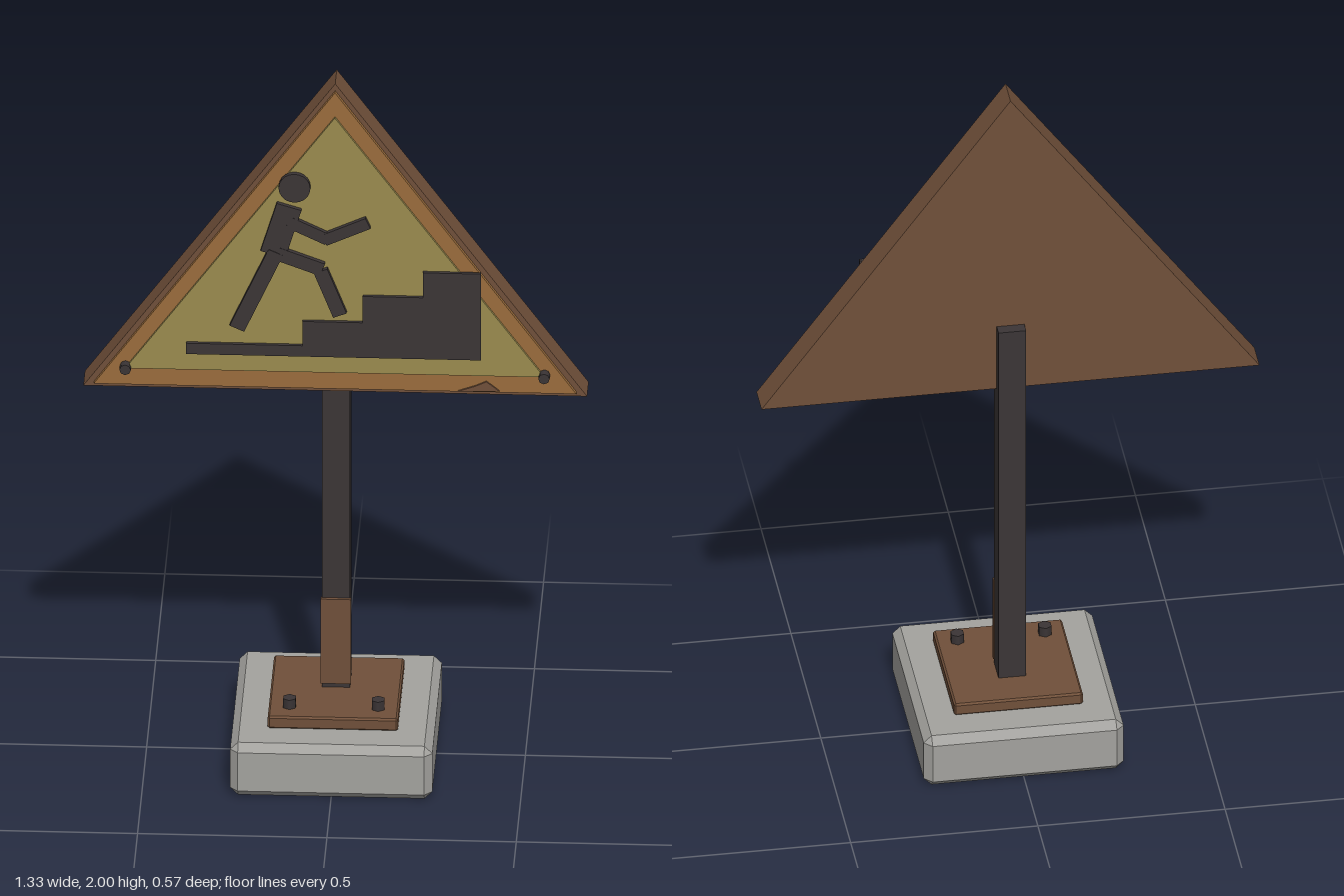
import * as THREE from 'three';
import { ConvexGeometry } from 'three/addons/geometries/ConvexGeometry.js';

const mat = (name, color) => {
  const m = new THREE.MeshStandardMaterial({ color });
  m.name = name;
  return m;
};

// Box with 45 degree cuts along every edge
function chamferBox(w, h, d, c) {
  const pts = [];
  for (const sx of [-1, 1]) for (const sy of [-1, 1]) for (const sz of [-1, 1]) {
    for (const k of [0, 1, 2]) {
      const inset = (axis) => (axis === k ? 0 : c);
      pts.push(new THREE.Vector3(
        sx * (w / 2 - inset(0)), sy * (h / 2 - inset(1)), sz * (d / 2 - inset(2))));
    }
  }
  return new ConvexGeometry(pts);
}

// Flat outline in x, y given thickness from z0 to z1
function slab(points, z0, z1) {
  const shape = new THREE.Shape(points.map(([x, y]) => new THREE.Vector2(x, y)));
  const g = new THREE.ExtrudeGeometry(shape, { depth: z1 - z0, bevelEnabled: false });
  return g.translate(0, 0, z0);
}

export function createModel() {
  const model = new THREE.Group();
  model.name = 'roadSign';

  const concrete = mat('concrete', 0xa3a29e);
  const rust = mat('rustBrown', 0x70503a);
  const orange = mat('orangeBorder', 0x9a6c3c);
  const yellow = mat('fadedYellow', 0x9a8b4e);
  const dark = mat('darkMetal', 0x3b3536);

  const add = (name, geometry, material, x = 0, y = 0, z = 0, parent = model) => {
    const mesh = new THREE.Mesh(geometry, material);
    mesh.name = name;
    mesh.position.set(x, y, z);
    parent.add(mesh);
    return mesh;
  };

  // Foot: concrete block, mounting plate and two bolts
  add('concreteBase', chamferBox(0.534, 0.155, 0.566, 0.021), concrete, 0, 0.0775, 0);
  add('mountingPlate', chamferBox(0.344, 0.036, 0.358, 0.005), rust, 0, 0.172, 0);
  for (const s of [-1, 1]) {
    add('baseBolt', new THREE.CylinderGeometry(0.019, 0.019, 0.03, 6), dark, s * 0.117, 0.202, 0.117);
  }

  // Post with a rusty sleeve plate on its front
  add('post', new THREE.BoxGeometry(0.074, 1.1, 0.073), dark, 0, 0.737, -0.0365);
  add('postRustPlate', new THREE.BoxGeometry(0.08, 0.25, 0.014), rust, 0, 0.33, 0.003);

  // Triangular board in three layers
  const triangle = (half, base, apex) => [[-half, base], [half, base], [0, apex]];
  add('backBoard', slab(triangle(0.665, 1.09, 2.0), -0.042, 0.042), rust);
  add('borderPanel', slab(triangle(0.637, 1.103, 1.98), 0.042, 0.055), orange);
  add('facePanel', slab(triangle(0.553, 1.155, 1.91), 0.055, 0.064), yellow);
  add('rustChip', slab([[0.325, 1.106], [0.435, 1.108], [0.418, 1.122], [0.4, 1.136], [0.37, 1.122]],
    0.055, 0.061), rust);

  // Screws in the lower corners
  for (const s of [-1, 1]) {
    const g = new THREE.CylinderGeometry(0.015, 0.015, 0.026, 8).rotateX(Math.PI / 2);
    add('cornerScrew', g, dark, s * 0.553, 1.158, 0.068);
  }

  // Stepped silhouette
  add('stairs', slab([
    [-0.392, 1.206], [0.386, 1.206], [0.386, 1.462], [0.233, 1.462], [0.233, 1.388],
    [0.074, 1.388], [0.074, 1.31], [-0.085, 1.31], [-0.085, 1.238], [-0.392, 1.238],
  ], 0.064, 0.074), dark);

  // Climbing figure made of straight limbs
  const figure = new THREE.Group();
  figure.name = 'climbingFigure';
  model.add(figure);
  const head = new THREE.CylinderGeometry(0.042, 0.042, 0.014, 20).rotateX(Math.PI / 2);
  add('head', head, dark, -0.106, 1.706, 0.071, figure);
  const limbs = [
    ['torso', -0.12, 1.65, -0.163, 1.508, 0.068],
    ['upperArm', -0.122, 1.605, -0.018, 1.555, 0.033],
    ['forearm', -0.028, 1.553, 0.088, 1.606, 0.033],
    ['frontThigh', -0.15, 1.51, -0.032, 1.466, 0.038],
    ['frontShin', -0.037, 1.462, 0.014, 1.332, 0.038],
    ['rearLeg', -0.155, 1.515, -0.258, 1.287, 0.042],
  ];
  limbs.forEach(([name, x0, y0, x1, y1, width], i) => {
    const length = Math.hypot(x1 - x0, y1 - y0);
    const depth = 0.013 + i * 0.0004;
    const limb = add(name, new THREE.BoxGeometry(length, width, depth), dark,
      (x0 + x1) / 2, (y0 + y1) / 2, 0.064 + depth / 2, figure);
    limb.rotation.z = Math.atan2(y1 - y0, x1 - x0);
  });

  return model;
}
